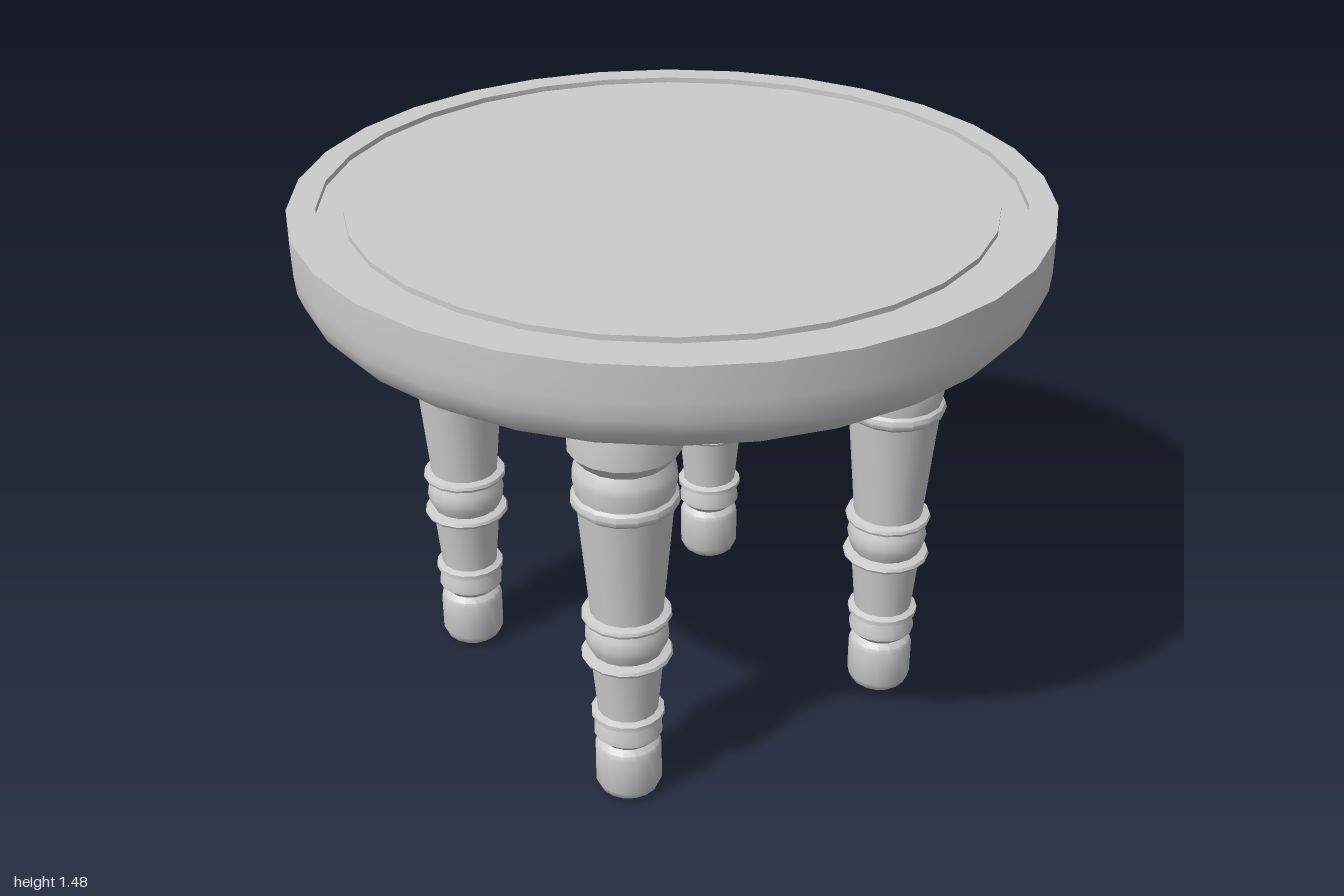
import * as THREE from 'three';
import { toCreasedNormals } from 'three/addons/utils/BufferGeometryUtils.js';

const material = new THREE.MeshStandardMaterial({ color: 0xcccccc });

// Turned part: profile of [radius, height] pairs from bottom to top
function turned(name, profile, sides, crease) {
  const points = profile.map(([r, y]) => new THREE.Vector2(r, y));
  const geometry = new THREE.LatheGeometry(points, sides);
  geometry.rotateY(Math.PI / 2);
  const mesh = new THREE.Mesh(toCreasedNormals(geometry, crease), material);
  mesh.name = name;
  return mesh;
}

export function createModel() {
  const group = new THREE.Group();
  group.name = 'stool';

  // Round seat: rounded underside, straight rim, shallow groove in the top
  const seat = turned('seat', [
    [0, 1.207], [0.865, 1.207], [0.91, 1.227], [0.95, 1.255], [0.98, 1.29], [0.995, 1.33], [1, 1.38],
    [1, 1.475], [0.925, 1.475], [0.925, 1.46], [0.855, 1.46], [0.855, 1.475], [0, 1.475],
  ], 30, 0.7);
  group.add(seat);

  // Turned leg, from foot to collar
  const legProfile = [
    [0, 0], [0.065, 0], [0.08, 0.012], [0.09, 0.035], [0.09, 0.14], [0.085, 0.155], [0.07, 0.168],
    [0.092, 0.19], [0.092, 0.205], [0.082, 0.24], [0.098, 0.247], [0.098, 0.26], [0.081, 0.267],
    [0.096, 0.43], [0.117, 0.435], [0.121, 0.443], [0.117, 0.451], [0.095, 0.457],
    [0.106, 0.48], [0.111, 0.505], [0.106, 0.53], [0.096, 0.552],
    [0.116, 0.556], [0.119, 0.564], [0.116, 0.572], [0.096, 0.578],
    [0.124, 0.89], [0.136, 0.9], [0.14, 0.913], [0.136, 0.926], [0.127, 0.933],
    [0.134, 0.98], [0.13, 1.0], [0.116, 1.025], [0.145, 1.06], [0.145, 1.18], [0.138, 1.2], [0.12, 1.215],
  ];

  // Four legs in a square, turned slightly about the seat's centre
  const names = ['frontLeftLeg', 'backLeftLeg', 'backRightLeg', 'frontRightLeg'];
  let [x, z] = [0.412, 0.455];
  for (const name of names) {
    const leg = turned(name, legProfile, 16, 0.6);
    leg.position.set(x, 0, z);
    group.add(leg);
    [x, z] = [z, -x];
  }
  return group;
}
